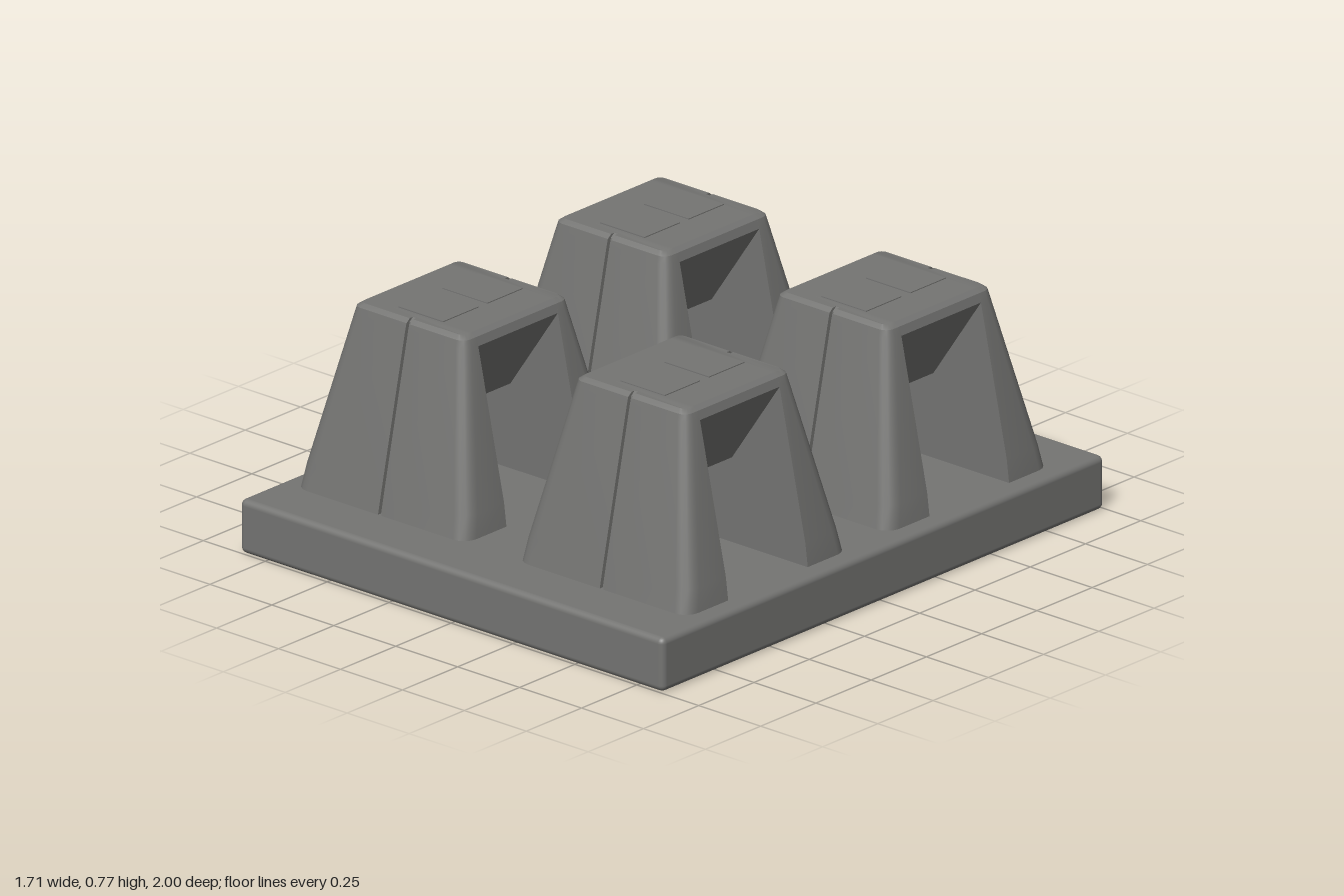
import * as THREE from 'three';
import { toCreasedNormals } from 'three/addons/utils/BufferGeometryUtils.js';
import { RoundedBoxGeometry } from 'three/addons/geometries/RoundedBoxGeometry.js';

const INNER = 0.18; // half depth of the opening between two legs

// Leg cross-section (x, z): flat inside, rounded outer corners, centre groove
function legSection(w, outer, r) {
  const pts = [[-w, INNER], [w, INNER]];
  const corner = [];
  for (let i = 0; i <= 4; i++) {
    const a = (i / 4) * Math.PI / 2;
    corner.push([w - r + r * Math.cos(a), outer - r + r * Math.sin(a)]);
  }
  pts.push(...corner, [0.007, outer], [0.007, outer - 0.014]);
  pts.push([-0.007, outer - 0.014], [-0.007, outer]);
  pts.push(...corner.reverse().map(([x, z]) => [-x, z]));
  return pts;
}

// Tapered leg lofted upward through its sections
function legGeometry() {
  const levels = [
    [0.165, 0.347, 0.368, 0.05],
    [0.25, 0.336, 0.35, 0.05],
    [0.735, 0.231, 0.243, 0.035],
    [0.758, 0.224, 0.237, 0.03],
    [0.77, 0.207, 0.222, 0.02],
  ];
  const rings = levels.map(([y, w, o, r]) =>
    legSection(w, o, r).map(([x, z]) => new THREE.Vector3(x, y, z)));
  const tris = [];
  const n = rings[0].length;
  for (let k = 0; k < rings.length - 1; k++) {
    for (let i = 0; i < n; i++) {
      const j = (i + 1) % n;
      const a = rings[k], b = rings[k + 1];
      tris.push(a[i], b[i], a[j], a[j], b[i], b[j]);
    }
  }
  const top = rings[rings.length - 1];
  const flat = top.map(p => new THREE.Vector2(p.x, p.z));
  for (const [a, b, c] of THREE.ShapeUtils.triangulateShape(flat, [])) tris.push(top[a], top[c], top[b]);
  return toCreasedNormals(new THREE.BufferGeometry().setFromPoints(tris), 0.6);
}

// Bridge between the legs, with an underside that slopes down to the middle
function bridgeGeometry() {
  const half = [[0.04, 0.45], [0.232, 0.73], [0.224, 0.758], [0.207, 0.77]];
  const pts = [...half, ...half.slice().reverse().map(([x, y]) => [-x, y])];
  const shape = new THREE.Shape(pts.map(p => new THREE.Vector2(...p)));
  const depth = 2 * INNER + 0.01;
  return new THREE.ExtrudeGeometry(shape, { depth, bevelEnabled: false }).translate(0, 0, -depth / 2);
}

export function createModel() {
  const model = new THREE.Group();
  const stone = new THREE.MeshStandardMaterial({ color: 0x747472 });
  stone.name = 'grey stone';

  const add = (parent, name, geometry) => {
    const mesh = new THREE.Mesh(geometry, stone);
    mesh.name = name;
    parent.add(mesh);
    return mesh;
  };

  // Slab
  add(model, 'baseSlab', new RoundedBoxGeometry(1.71, 0.175, 2, 3, 0.02)).position.y = 0.0875;

  // Four pedestals
  const leg = legGeometry();
  const bridge = bridgeGeometry();
  const panel = new THREE.BoxGeometry(0.18, 0.006, 0.16);
  for (const x of [-0.45, 0.445]) {
    for (const z of [-0.459, 0.452]) {
      const pedestal = new THREE.Group();
      pedestal.name = 'pedestal';
      pedestal.position.set(x, 0, z);
      add(pedestal, 'frontLeg', leg);
      add(pedestal, 'backLeg', leg).rotation.y = Math.PI;
      add(pedestal, 'bridge', bridge);
      for (const s of [-1, 1]) add(pedestal, 'topPanel', panel).position.set(0, 0.77, s * 0.1);
      model.add(pedestal);
    }
  }
  return model;
}
